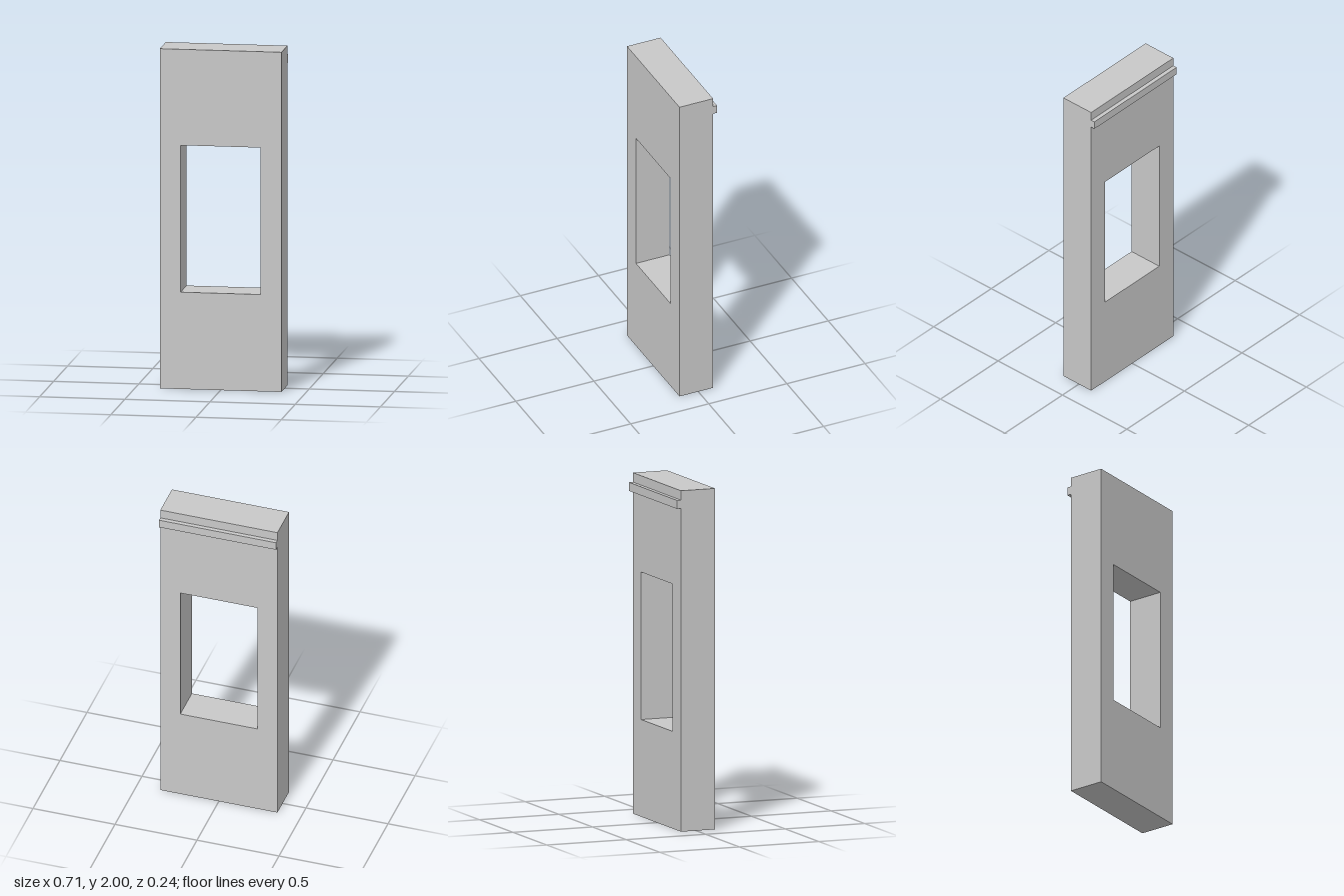
import * as THREE from 'three';

const WIDTH = 0.714, HEIGHT = 2;
const FRONT = 0.12, BACK = -0.095, RIDGE_BACK = -0.12;

// Traces a closed rectangle on a Shape or Path
function rectangle(path, x0, y0, x1, y1) {
  path.moveTo(x0, y0);
  path.lineTo(x1, y0);
  path.lineTo(x1, y1);
  path.lineTo(x0, y1);
  path.closePath();
  return path;
}

export function createModel() {
  const group = new THREE.Group();
  group.name = 'wallPanel';

  const lightGrey = new THREE.MeshStandardMaterial({ color: 0xc8c8c8 });
  lightGrey.name = 'lightGrey';

  // Upright slab with a window opening cut right through
  const outline = rectangle(new THREE.Shape(), -WIDTH / 2, 0, WIDTH / 2, HEIGHT);
  outline.holes.push(rectangle(new THREE.Path(), -0.235, 0.57, 0.235, 1.435));
  const slabGeometry = new THREE.ExtrudeGeometry(outline, {
    depth: FRONT - BACK,
    bevelEnabled: false,
  });
  slabGeometry.translate(0, 0, BACK);
  const slab = new THREE.Mesh(slabGeometry, lightGrey);
  slab.name = 'slab';
  group.add(slab);

  // Hanging ridge along the top of the back
  const ridge = new THREE.Mesh(
    new THREE.BoxGeometry(WIDTH, 0.05, BACK - RIDGE_BACK),
    lightGrey
  );
  ridge.name = 'backRidge';
  ridge.position.set(0, 1.92, (BACK + RIDGE_BACK) / 2);
  group.add(ridge);

  return group;
}
